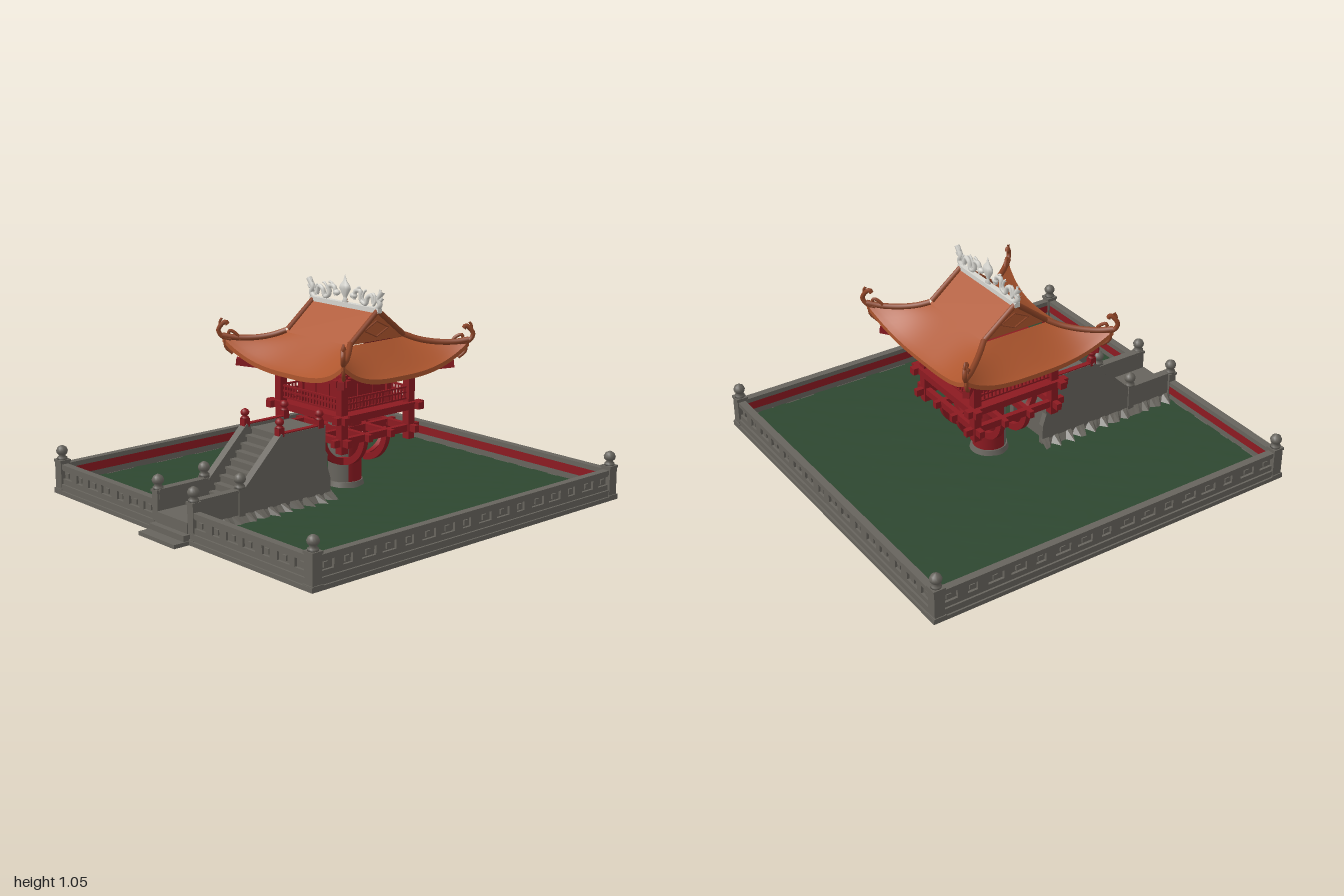
import * as THREE from 'three';

const mat = (name, color, side = THREE.FrontSide) => {
  const m = new THREE.MeshStandardMaterial({ color, side });
  m.name = name;
  return m;
};
const V = (x, y, z) => new THREE.Vector3(x, y, z);
const lerp = THREE.MathUtils.lerp;

export function createModel() {
  const stone = mat('stone grey', 0x67645d);
  const red = mat('lacquer red', 0x8c1a21);
  const redSheet = mat('soffit red', 0x7c181e, THREE.DoubleSide);
  const tile = mat('roof tile orange', 0xae562e, THREE.DoubleSide);
  const tileDark = mat('ridge tile brown', 0x8e4426);
  const water = mat('pond green', 0x2d4730);
  const white = mat('ridge white', 0xd6d5cf);
  const model = new THREE.Group();

  const group = (name, parent = model) => {
    const g = new THREE.Group();
    g.name = name;
    parent.add(g);
    return g;
  };
  const add = (parent, name, geo, m, x = 0, y = 0, z = 0) => {
    const mesh = new THREE.Mesh(geo, m);
    mesh.name = name;
    mesh.position.set(x, y, z);
    parent.add(mesh);
    return mesh;
  };
  // box given by its limits
  const box = (p, name, m, x0, x1, y0, y1, z0, z1) =>
    add(p, name, new THREE.BoxGeometry(x1 - x0, y1 - y0, z1 - z0), m, (x0 + x1) / 2, (y0 + y1) / 2, (z0 + z1) / 2);
  const tube = (p, name, m, pts, r, seg = 24) =>
    add(p, name, new THREE.TubeGeometry(new THREE.CatmullRomCurve3(pts), seg, r, 7), m);
  const lathe = (pts, n = 14) => new THREE.LatheGeometry(pts.map(([r, y]) => new THREE.Vector2(r, y)), n);
  // surface from a function of u and v in 0..1
  const sheet = (f, nu, nv) => {
    const pos = [], idx = [];
    for (let j = 0; j <= nv; j++) for (let i = 0; i <= nu; i++) pos.push(...f(i / nu, j / nv));
    for (let j = 0; j < nv; j++) for (let i = 0; i < nu; i++) {
      const a = j * (nu + 1) + i, b = a + nu + 1;
      idx.push(a, b, a + 1, b, b + 1, a + 1);
    }
    const g = new THREE.BufferGeometry();
    g.setAttribute('position', new THREE.Float32BufferAttribute(pos, 3));
    g.setIndex(idx);
    g.computeVertexNormals();
    return g;
  };

  // pond basin and water
  const pond = group('pond');
  box(pond, 'basePlinth', stone, -0.93, 0.93, 0, 0.02, -0.995, 0.92);
  box(pond, 'basinFloor', stone, -0.9, 0.9, 0.02, 0.042, -0.97, 0.89);
  const waterGeo = new THREE.PlaneGeometry(1.78, 1.84, 36, 36).rotateX(-Math.PI / 2);
  const wp = waterGeo.attributes.position;
  for (let i = 0; i < wp.count; i++) {
    wp.setY(i, 0.003 * Math.sin(wp.getX(i) * 37 + 3 * Math.sin(wp.getZ(i) * 9)) * Math.sin(wp.getZ(i) * 41));
  }
  waterGeo.computeVertexNormals();
  add(pond, 'waterSurface', waterGeo, water, 0, 0.05, -0.04);

  // balustrade walls: pierced outer face, backing, rail and red inner face
  const wall = (name, len, x, z, turn) => {
    const g = group(name);
    g.position.set(x, 0, z);
    g.rotation.y = turn;
    const h = len / 2;
    const face = new THREE.Shape([[-h, 0.045], [h, 0.045], [h, 0.125], [-h, 0.125]].map(p => new THREE.Vector2(...p)));
    const n = Math.round(len / 0.115), pitch = len / n;
    for (let i = 0; i < n; i++) {
      const c = -h + (i + 0.5) * pitch, w = i % 3 === 1 ? 0.025 : 0.04;
      face.holes.push(new THREE.Path([[c - w, 0.075], [c - w, 0.115], [c + w, 0.115], [c + w, 0.075]].map(p => new THREE.Vector2(...p))));
      box(g, 'panelBoss', stone, c - 0.012, c + 0.012, 0.083, 0.107, -0.002, 0.009);
    }
    add(g, 'piercedPanel', new THREE.ExtrudeGeometry(face, { depth: 0.013, bevelEnabled: false }), stone);
    box(g, 'panelBacking', stone, -h, h, 0.02, 0.125, -0.014, 0.001);
    box(g, 'foot', stone, -h, h, 0.02, 0.05, -0.018, 0.022);
    box(g, 'topRail', stone, -h, h, 0.122, 0.145, -0.018, 0.018);
    box(g, 'innerRedPanel', red, -h, h, 0.08, 0.122, -0.017, -0.014);
  };
  wall('backWall', 1.8, 0, -0.965, Math.PI);
  wall('leftWall', 1.85, 0.9, -0.04, Math.PI / 2);
  wall('rightWall', 1.85, -0.9, -0.04, -Math.PI / 2);
  for (const s of [-1, 1]) wall('frontWall', 0.77, s * 0.515, 0.89, 0);

  // stone posts with round finials
  const finial = [[0, 0], [0.024, 0], [0.024, 0.01], [0.014, 0.018], [0.025, 0.03], [0.028, 0.043], [0.021, 0.058], [0.008, 0.066], [0, 0.069]];
  const post = (x, z, w, top) => {
    const g = group('stonePost');
    const h = w / 2;
    box(g, 'postFoot', stone, x - h - 0.005, x + h + 0.005, 0, 0.025, z - h - 0.005, z + h + 0.005);
    box(g, 'postShaft', stone, x - h, x + h, 0.02, top, z - h, z + h);
    box(g, 'postCap', stone, x - h - 0.004, x + h + 0.004, top - 0.012, top, z - h - 0.004, z + h + 0.004);
    add(g, 'postFinial', lathe(finial), stone, x, top, z);
  };
  for (const s of [-1, 1]) {
    post(s * 0.9, -0.963, 0.05, 0.165);
    post(s * 0.9, 0.888, 0.05, 0.165);
    post(s * 0.128, 0.89, 0.04, 0.19);
    post(s * 0.128, 0.635, 0.032, 0.2);
  }

  // bridge: parapets, stairs and shore
  const bridge = group('bridge');
  const parapet = new THREE.Shape([[0.9, 0.03], [0.9, 0.185], [0.62, 0.185], [0.4, 0.4], [0.14, 0.4], [0.14, 0.28], [0.125, 0.26], [0.13, 0.21], [0.11, 0.15], [0.11, 0.03]]
    .map(p => new THREE.Vector2(...p)));
  const slope = Math.atan2(0.215, 0.22);
  for (const s of [-1, 1]) {
    const geo = new THREE.ExtrudeGeometry(parapet, { depth: 0.03, bevelEnabled: false }).rotateY(-Math.PI / 2).translate(0.015, 0, 0);
    add(bridge, 'parapet', geo, stone, s * 0.122, 0, 0);
    const coping = add(bridge, 'slopedCoping', new THREE.BoxGeometry(0.04, 0.014, 0.31), stone, s * 0.122, 0.293, 0.51);
    coping.rotation.x = slope;
    box(bridge, 'lowerCoping', stone, s * 0.122 - 0.02, s * 0.122 + 0.02, 0.18, 0.194, 0.63, 0.9);
    box(bridge, 'upperRedRail', red, s * 0.122 - 0.013, s * 0.122 + 0.013, 0.397, 0.405, 0.14, 0.41);
    for (const z of [0.4, 0.165]) {
      box(bridge, 'redPost', red, s * 0.122 - 0.016, s * 0.122 + 0.016, 0.39, 0.43, z - 0.016, z + 0.016);
      add(bridge, 'redPostKnob', lathe(finial).scale(0.75, 0.7, 0.75), red, s * 0.122, 0.428, z);
    }
    // ragged rock shore falling to the water
    const rim = i => 0.175 + 0.02 * Math.sin(i * 2.4) + 0.012 * Math.cos(i * 4.1);
    const shore = sheet((u, v) => {
      const i = Math.round(u * 30);
      return [s * (v ? rim(i) : 0.13), v ? 0.048 : 0.085, lerp(0.1, 0.87, u)];
    }, 30, 1).toNonIndexed();
    shore.computeVertexNormals();
    const rock = stone.side === THREE.DoubleSide ? stone : add(bridge, 'rockShore', shore, stone);
    if (s > 0) {
      // keep the faces upward on this side
      const p = shore.attributes.position;
      const up = shore.attributes.normal.getY(0) > 0;
      if (!up) flip(p);
      shore.computeVertexNormals();
    } else if (shore.attributes.normal.getY(0) < 0) {
      flip(shore.attributes.position);
      rock.geometry.computeVertexNormals();
    }
  }
  box(bridge, 'lowerDeck', stone, -0.11, 0.11, 0.02, 0.095, 0.6, 0.915);
  box(bridge, 'entryStepLow', stone, -0.13, 0.13, 0, 0.018, 0.88, 1);
  box(bridge, 'entryStepHigh', stone, -0.125, 0.125, 0.018, 0.045, 0.88, 0.945);
  for (let i = 0; i < 9; i++) {
    const top = 0.13 + i * 0.032, z = 0.62 - i * 0.031;
    box(bridge, 'stair', stone, -0.11, 0.11, 0.04, top, 0.14, z);
    box(bridge, 'stairNosing', stone, -0.109, 0.109, top - 0.009, top + 0.001, z - 0.02, z + 0.006);
  }

  // pavilion, centred on its pillar
  const pavilion = group('pavilion');
  pavilion.position.z = -0.105;
  const pillar = group('pillar', pavilion);
  const third = Math.PI / 3;
  add(pillar, 'pillarRed', new THREE.CylinderGeometry(0.08, 0.08, 0.39, 24, 1, false, third, 4 * third), red, 0, 0.235, 0);
  add(pillar, 'pillarStoneFace', new THREE.CylinderGeometry(0.08, 0.08, 0.39, 12, 1, false, -third, 2 * third), stone, 0, 0.235, 0);
  add(pillar, 'pillarFoot', new THREE.CylinderGeometry(0.086, 0.095, 0.03, 24), stone, 0, 0.06, 0);

  // timber frame repeated on the four sides
  const bow = new THREE.Shape();
  bow.absarc(0.065, 0.33, 0.16, 0, -Math.PI / 2, true);
  bow.absarc(0.065, 0.33, 0.128, -Math.PI / 2, 0, false);
  const baluster = new THREE.BoxGeometry(0.007, 0.06, 0.007);
  for (let k = 0; k < 4; k++) {
    const f = group('frameSide', pavilion);
    f.rotation.y = k * Math.PI / 2;
    for (const x of [-0.07, 0.07]) {
      const b = add(f, 'bowBracket', new THREE.ExtrudeGeometry(bow, { depth: 0.026, bevelEnabled: false, curveSegments: 12 }), red, x + 0.013, 0, 0);
      b.rotation.y = -Math.PI / 2;
    }
    box(f, 'cornerPost', red, 0.193, 0.232, 0.275, 0.64, 0.193, 0.232);
    box(f, 'lowerBeam', red, -0.27, 0.27, 0.312, 0.345, 0.2, 0.226);
    box(f, 'crossBeam', red, -0.082, -0.058, 0.312, 0.345, 0, 0.255);
    box(f, 'crossBeam', red, 0.058, 0.082, 0.312, 0.345, 0, 0.255);
    box(f, 'floorBeam', red, -0.275, 0.275, 0.422, 0.455, 0.215, 0.25);
    box(f, 'eaveBeam', red, -0.26, 0.26, 0.592, 0.622, 0.2, 0.226);
    for (const x of [-0.14, 0.14]) box(f, 'wallPost', red, x - 0.014, x + 0.014, 0.44, 0.66, 0.127, 0.155);
    for (const x of [-0.047, 0.047]) box(f, 'doorStile', red, x - 0.005, x + 0.005, 0.46, 0.62, 0.138, 0.146);
    for (const y of [0.47, 0.5, 0.525]) box(f, 'railingBar', red, -0.21, 0.21, y - 0.004, y + 0.004, 0.206, 0.216);
    for (let i = -9; i <= 9; i++) add(f, 'baluster', baluster, red, i * 0.0205, 0.495, 0.211);
    const hipBeam = add(f, 'cornerEaveBeam', new THREE.BoxGeometry(0.03, 0.035, 0.25), red, 0.275, 0.622, 0.27);
    hipBeam.rotation.set(-0.12, Math.PI / 4, 0, 'YXZ');
  }
  box(pavilion, 'floor', red, -0.24, 0.24, 0.425, 0.448, -0.24, 0.24);
  box(pavilion, 'shrineWalls', red, -0.14, 0.14, 0.445, 0.68, -0.14, 0.14);

  // roof skirt: k 0/2 are front and back, 1/3 the sides; u runs along the eave, s down the slope
  const roof = group('roof', pavilion);
  const skirtAt = (k, u, s, drop = 0) => {
    const c = Math.abs(u) ** 3;
    const y = 0.77 - 0.135 * (1 - (1 - s) ** 1.15) + 0.11 * s ** 1.5 * c - drop;
    const sign = k < 2 ? 1 : -1;
    return k % 2 === 0
      ? [sign * u * lerp(0.22, 0.42, s), y, sign * lerp(0.17, 0.355 + 0.04 * c, s)]
      : [sign * lerp(0.22, 0.385 + 0.035 * c, s), y, -sign * u * lerp(0.17, 0.395, s)];
  };
  for (let k = 0; k < 4; k++) {
    add(roof, 'roofSkirt', sheet((u, v) => skirtAt(k, 2 * u - 1, v), 24, 12), tile);
    add(roof, 'eaveEdge', sheet((u, v) => skirtAt(k, 2 * u - 1, 1, v * 0.022), 24, 1), tile);
    add(roof, 'soffit', sheet((u, v) => skirtAt(k, 2 * u - 1, v, 0.022), 24, 8), redSheet);
  }
  for (const s of [-1, 1]) {
    add(roof, 'upperSlope', sheet((u, v) => [s * (2 * u - 1) * 0.225, lerp(0.91, 0.77, v), s * v * 0.17], 1, 1), tile);
    // gable with diamond moulding
    add(roof, 'gable', sheet((u, v) => [s * 0.21, lerp(0.91, 0.77, v), s * (1 - 2 * u) * 0.17 * v], 1, 1), tile);
    const d = [V(s * 0.213, 0.862, 0), V(s * 0.213, 0.825, 0.075), V(s * 0.213, 0.79, 0), V(s * 0.213, 0.825, -0.075)];
    d.forEach((p, i) => add(roof, 'gableDiamond', new THREE.TubeGeometry(new THREE.LineCurve3(p, d[(i + 1) % 4]), 1, 0.004, 5), tileDark));
    for (const t of [-1, 1]) {
      // ridge tiles down the gable and along the hip
      const gablePts = [V(s * 0.22, 0.912, 0), V(s * 0.22, 0.845, t * 0.085), V(s * 0.22, 0.782, t * 0.165)];
      tube(roof, 'gableRidge', tileDark, gablePts, 0.013, 10);
      const hip = [0, 0.2, 0.4, 0.6, 0.8, 1].map(q => {
        const [x, y, z] = skirtAt(0, 1, q);
        return V(s * x, y + 0.01, t * z);
      });
      tube(roof, 'hipRidge', tileDark, hip, 0.014);
      // curled corner ornament
      const at = (r, y) => V(s * (0.42 + r), y, t * (0.395 + r));
      tube(roof, 'cornerCurl', tileDark, [at(-0.03, 0.74), at(0, 0.75), at(0.013, 0.78), at(0.002, 0.808), at(-0.012, 0.82), at(-0.018, 0.808)], 0.011);
      tube(roof, 'cornerCrest', tileDark, [at(-0.06, 0.735), at(-0.045, 0.765), at(-0.025, 0.778), at(-0.02, 0.765)], 0.008, 12);
      tube(roof, 'cornerHorn', tileDark, [at(0.005, 0.795), at(0.008, 0.818), at(0, 0.838)], 0.006, 8);
      tube(roof, 'cornerBeard', tileDark, [at(-0.01, 0.745), at(-0.012, 0.7), at(-0.035, 0.67)], 0.009, 8);
    }
  }

  // white ridge with flame jewel and paired serpents
  const crest = group('ridgeCrest', pavilion);
  box(crest, 'ridgeBar', white, -0.235, 0.235, 0.9, 0.922, -0.013, 0.013);
  add(crest, 'flameJewel', lathe([[0, 0.915], [0.02, 0.92], [0.01, 0.94], [0.014, 0.95], [0.036, 0.985], [0.03, 1.003], [0.012, 1.02], [0.005, 1.04], [0, 1.052]], 10).scale(1, 1, 0.5), white);
  for (const s of [-1, 1]) {
    const path = (name, pts, r, seg) => tube(crest, name, white, pts.map(([x, y]) => V(s * x, y, 0)), r, seg);
    path('serpentBody', [[0.06, 0.945], [0.075, 0.985], [0.105, 0.985], [0.11, 0.945], [0.14, 0.932], [0.155, 0.965], [0.18, 0.975], [0.195, 0.94]], 0.011, 36);
    path('serpentTail', [[0.19, 0.93], [0.205, 0.95], [0.2, 0.975], [0.185, 0.985]], 0.007, 12);
    path('serpentHorn', [[0.075, 0.98], [0.09, 1.0], [0.11, 1.005]], 0.006, 10);
    path('serpentLeg', [[0.13, 0.94], [0.12, 0.96], [0.135, 0.99], [0.15, 0.998]], 0.006, 10);
    add(crest, 'serpentHead', new THREE.SphereGeometry(0.018, 10, 8).scale(1.2, 0.8, 0.8), white, s * 0.058, 0.96, 0);
    path('endFinial', [[0.215, 0.92], [0.235, 0.94], [0.225, 0.965], [0.238, 0.985], [0.255, 1.005]], 0.013, 18);
    path('endFinialCurl', [[0.23, 0.975], [0.242, 0.962], [0.255, 0.975]], 0.008, 10);
    path('endFinialHorn', [[0.23, 0.975], [0.232, 0.995], [0.24, 1.01]], 0.006, 8);
  }
  return model;
}

// swap two corners of every triangle
function flip(p) {
  for (let i = 0; i < p.count; i += 3) {
    const b = V(p.getX(i + 1), p.getY(i + 1), p.getZ(i + 1));
    p.setXYZ(i + 1, p.getX(i + 2), p.getY(i + 2), p.getZ(i + 2));
    p.setXYZ(i + 2, b.x, b.y, b.z);
  }
}
